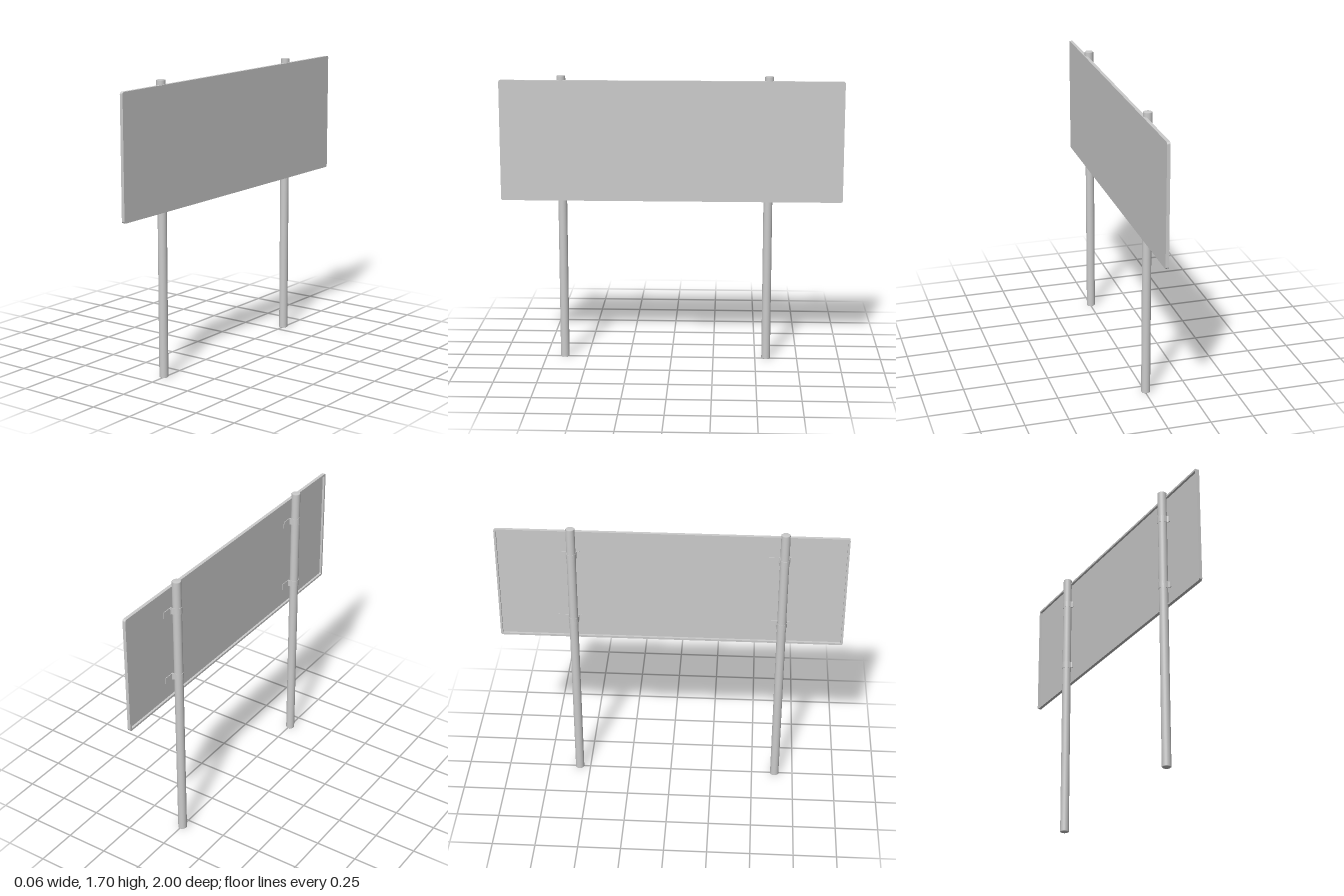
import * as THREE from 'three';

const POST_X = -0.004, POST_R = 0.026, POST_H = 1.695;
const BOTTOM = 0.962, TOP = 1.67, HALF = 1;
const BACK = 0.008, SHEET = 0.021, FACE = 0.027;

const material = new THREE.MeshStandardMaterial({ color: 0xcccccc });

function part(name, geometry) {
  const mesh = new THREE.Mesh(geometry, material);
  mesh.name = name;
  return mesh;
}

// Rounded rectangle about the middle of the panel
function roundedRect(Type, w, h, r) {
  const s = new Type();
  s.moveTo(w - r, -h);
  s.absarc(w - r, -h + r, r, -Math.PI / 2, 0);
  s.absarc(w - r, h - r, r, 0, Math.PI / 2);
  s.absarc(-w + r, h - r, r, Math.PI / 2, Math.PI);
  s.absarc(-w + r, -h + r, r, Math.PI, Math.PI * 1.5);
  s.closePath();
  return s;
}

// Extrude a panel outline so that it faces +x, from x0 to x1
function panelLayer(shape, x0, x1) {
  const g = new THREE.ExtrudeGeometry(shape, { depth: x1 - x0, bevelEnabled: false, curveSegments: 4 });
  g.rotateY(Math.PI / 2);
  g.translate(x0, (BOTTOM + TOP) / 2, 0);
  return g;
}

// Strap bent round the back of a post, with ears lying on the panel
function strapGeometry(height) {
  const outer = POST_R + 0.0015, inner = POST_R - 0.001;
  const earFront = SHEET - POST_X + 0.0005, earBack = earFront - 0.004;
  const points = [];
  const add = (x, y) => points.push(new THREE.Vector2(x, y));
  const steps = 20, a0 = Math.PI / 2;
  add(earFront, 0.09);
  add(earBack, 0.09);
  add(earBack, outer + 0.006);
  add(earBack - 0.006, outer);
  for (let i = 0; i <= steps; i++) {
    const a = a0 + (Math.PI * i) / steps;
    add(outer * Math.cos(a), outer * Math.sin(a));
  }
  add(earBack - 0.006, -outer);
  add(earBack, -outer - 0.004);
  add(earBack, -0.045);
  add(earFront, -0.045);
  add(earFront, -inner);
  for (let i = steps; i >= 0; i--) {
    const a = a0 + (Math.PI * i) / steps;
    add(inner * Math.cos(a), inner * Math.sin(a));
  }
  add(earFront, inner);
  const g = new THREE.ExtrudeGeometry(new THREE.Shape(points), { depth: height, bevelEnabled: false });
  g.rotateX(-Math.PI / 2);
  return g;
}

export function createModel() {
  const model = new THREE.Group();
  model.name = 'signboard';

  // Sign panel: thin sheet with a raised rim at the back
  const panel = new THREE.Group();
  panel.name = 'panel';
  const h = (TOP - BOTTOM) / 2, rim = 0.012;
  panel.add(part('sheet', panelLayer(roundedRect(THREE.Shape, HALF, h, 0.012), SHEET, FACE)));
  const frame = roundedRect(THREE.Shape, HALF, h, 0.012);
  frame.holes.push(roundedRect(THREE.Path, HALF - rim, h - rim, 0.005));
  panel.add(part('backRim', panelLayer(frame, BACK, SHEET)));
  model.add(panel);

  // Posts with a slightly eased top and bottom edge
  const ease = 0.003;
  const profile = [
    [0, 0], [POST_R - ease, 0], [POST_R, ease],
    [POST_R, POST_H - ease], [POST_R - ease, POST_H], [0, POST_H],
  ].map(([r, y]) => new THREE.Vector2(r, y));
  const postGeometry = new THREE.LatheGeometry(profile, 24);
  const strap = strapGeometry(0.04);

  for (const z of [0.64, -0.565]) {
    const assembly = new THREE.Group();
    assembly.name = z > 0 ? 'frontPost' : 'backPost';
    assembly.position.set(POST_X, 0, z);
    assembly.add(part('post', postGeometry));
    // Two mounting straps per post
    for (const y of [1.07, 1.495]) {
      const clamp = part('strap', strap);
      clamp.position.y = y;
      assembly.add(clamp);
    }
    model.add(assembly);
  }
  return model;
}
